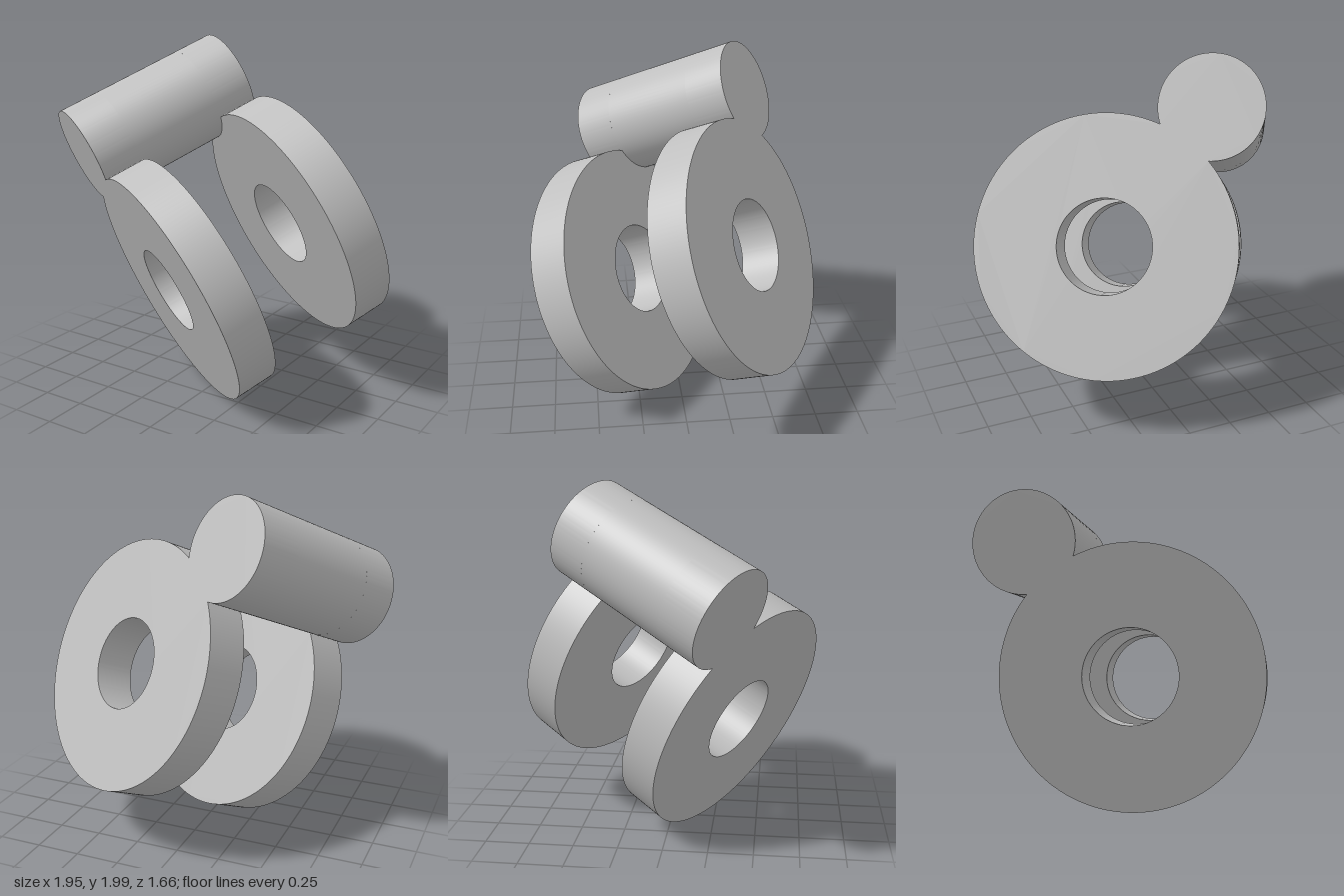
import * as THREE from 'three';
import { toCreasedNormals } from 'three/addons/utils/BufferGeometryUtils.js';

const DISC_R = 0.706;   // ring plate radius
const HOLE_R = 0.256;   // bore radius
const PIN_R = 0.282;    // pin radius
const OFFSET = 0.92;    // distance between ring and pin axes
const LENGTH = 1.0;     // overall length along the axis
const THICK = 0.232;    // plate thickness

// Outline of a ring merged with the pin's end
function plateShape() {
  const x = (OFFSET ** 2 + DISC_R ** 2 - PIN_R ** 2) / (2 * OFFSET);
  const y = Math.sqrt(DISC_R ** 2 - x ** 2);
  const a = Math.atan2(y, x);
  const b = Math.atan2(y, x - OFFSET);
  const shape = new THREE.Shape();
  shape.absarc(0, 0, DISC_R, a, Math.PI * 2 - a, false);
  shape.absarc(OFFSET, 0, PIN_R, -b, b, false);
  const hole = new THREE.Path();
  hole.absarc(0, 0, HOLE_R, 0, Math.PI * 2, true);
  shape.holes.push(hole);
  return shape;
}

export function createModel() {
  const grey = new THREE.MeshStandardMaterial({ color: 0xbfbfbf });
  grey.name = 'plain grey';
  const model = new THREE.Group();
  model.name = 'twoRingBracket';

  // Two identical ring plates at the ends of the pin
  const plate = toCreasedNormals(
    new THREE.ExtrudeGeometry(plateShape(), { depth: THICK, bevelEnabled: false, curveSegments: 80 }), 0.5);
  const places = [['frontRingPlate', LENGTH / 2 - THICK], ['backRingPlate', -LENGTH / 2]];
  for (const [name, z] of places) {
    const mesh = new THREE.Mesh(plate, grey);
    mesh.name = name;
    mesh.position.z = z;
    model.add(mesh);
  }

  // Pin section spanning the gap between the plates
  const pinGeometry = new THREE.CylinderGeometry(PIN_R, PIN_R, LENGTH - 2 * THICK, 80, 1, true);
  pinGeometry.rotateX(Math.PI / 2);
  const pin = new THREE.Mesh(pinGeometry, grey);
  pin.name = 'connectingPin';
  pin.position.x = OFFSET;
  model.add(pin);

  // Tilt the whole bracket: local z runs along the pin, local x from ring to pin
  const zAxis = new THREE.Vector3(-0.475, -0.385, 0.787).normalize();
  const xAxis = new THREE.Vector3(-0.602, 0.697, -0.022);
  xAxis.addScaledVector(zAxis, -xAxis.dot(zAxis)).normalize();
  const yAxis = new THREE.Vector3().crossVectors(zAxis, xAxis);
  model.quaternion.setFromRotationMatrix(new THREE.Matrix4().makeBasis(xAxis, yAxis, zAxis));
  model.position.set(0.1125, 0.8505, 0);

  const root = new THREE.Group();
  root.name = 'model';
  root.add(model);
  return root;
}
